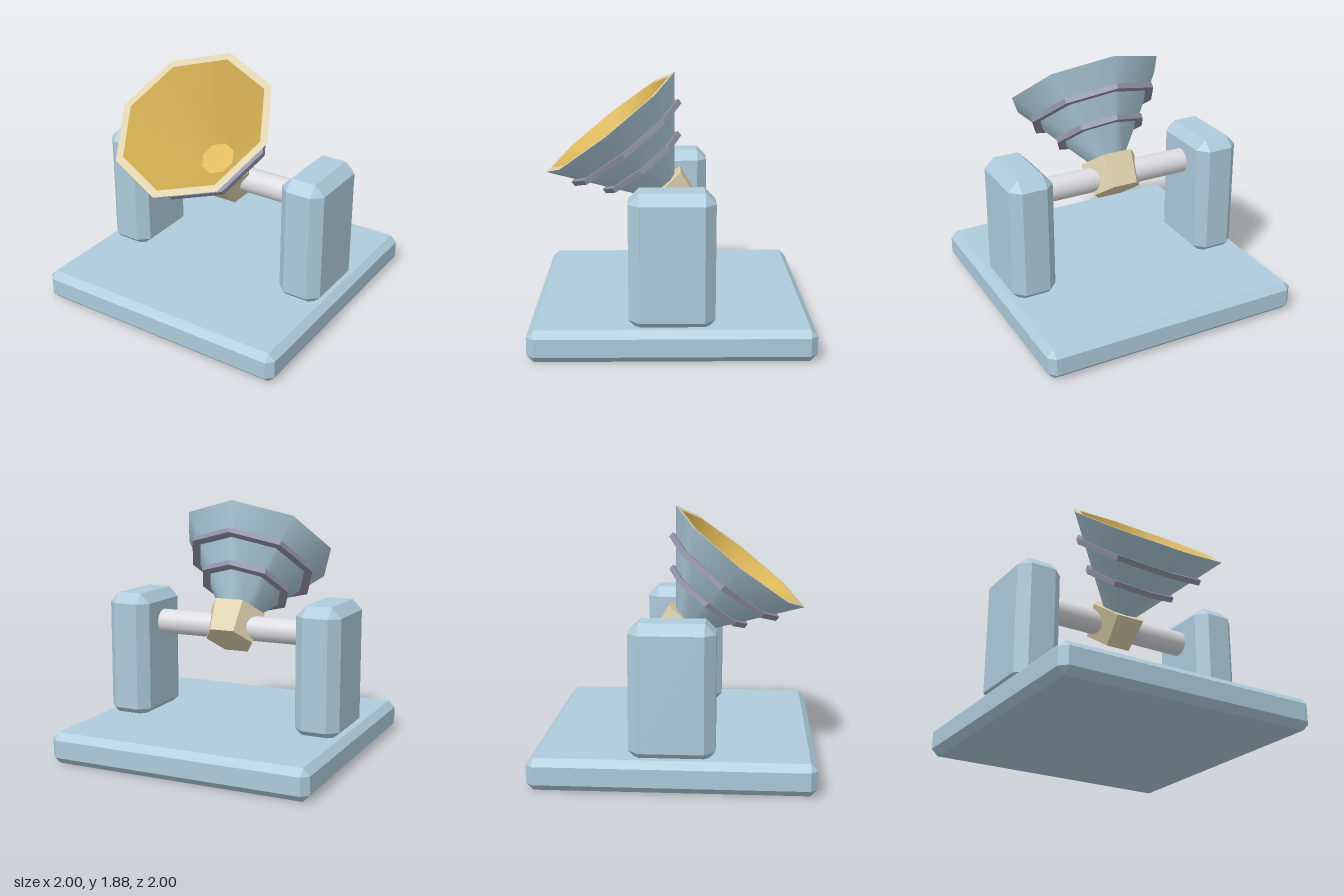
import * as THREE from 'three';
import { ConvexGeometry } from 'three/addons/geometries/ConvexGeometry.js';

const paint = (name, color) => {
  const m = new THREE.MeshStandardMaterial({ color });
  m.name = name;
  return m;
};

// Box with every edge and corner cut by c
function chamferBox(w, h, d, c) {
  const half = [w / 2, h / 2, d / 2], pts = [];
  for (const sx of [-1, 1]) for (const sy of [-1, 1]) for (const sz of [-1, 1])
    for (let axis = 0; axis < 3; axis++) {
      const p = half.map((v, i) => (i === axis ? v : v - c));
      pts.push(new THREE.Vector3(sx * p[0], sy * p[1], sz * p[2]));
    }
  return new ConvexGeometry(pts);
}

// Eight-sided surface of revolution from [radius, height] points
const octagon = (...pts) =>
  new THREE.LatheGeometry(pts.map(([r, t]) => new THREE.Vector2(r, t)), 8);

function flat(geometry) {
  const g = geometry.toNonIndexed();
  g.computeVertexNormals();
  return g;
}

export function createModel() {
  const blue = paint('pale blue', 0xaecbdb);
  const gold = paint('gold', 0xdcb656);
  const beige = paint('beige', 0xdccfab);
  const steel = paint('light steel', 0xdcdce0);
  const slate = paint('slate violet', 0x8f90a6);

  const model = new THREE.Group();
  model.name = 'dishOnStand';
  const add = (parent, name, geometry, material, x = 0, y = 0, z = 0) => {
    const mesh = new THREE.Mesh(geometry, material);
    mesh.name = name;
    mesh.position.set(x, y, z);
    parent.add(mesh);
    return mesh;
  };

  // Base slab and the two posts, sunk slightly into it
  add(model, 'base', chamferBox(2, 0.23, 2, 0.05), blue, 0, 0.115, 0);
  for (const [name, side] of [['leftPost', 1], ['rightPost', -1]])
    add(model, name, chamferBox(0.34, 0.97, 0.6, 0.075), blue, side * 0.77, 0.68, 0);

  // Axle between the posts
  const axle = add(model, 'axle', new THREE.CylinderGeometry(0.094, 0.094, 1.3, 32), steel, 0, 0.925, 0);
  axle.rotation.z = Math.PI / 2;

  // Everything on the tilting head is built along its own y axis
  const head = new THREE.Group();
  head.name = 'tiltingHead';
  head.position.y = 0.925;
  head.rotation.x = 0.663;
  model.add(head);

  // Six-sided hub, corners towards the axle
  const hub = flat(new THREE.CylinderGeometry(0.226, 0.19, 0.25, 6).rotateY(Math.PI / 6));
  add(head, 'hub', hub, beige, 0, 0.005, 0);

  // Dish: outer shell, rim, bowl and bowl floor
  const rimT = 0.735, floorT = 0.235;
  add(head, 'dishShell', octagon([0.14, 0.13], [0.61, rimT]), blue);
  add(head, 'dishRim', octagon([0.61, rimT], [0.553, rimT]), beige);
  add(head, 'dishBowl', octagon([0.553, rimT], [0.13, floorT]), gold);
  add(head, 'dishFloor', octagon([0.13, floorT], [0, floorT]), gold);

  // Two raised bands round the shell
  for (const [name, r, t] of [['upperBand', 0.51, 0.54], ['lowerBand', 0.36, 0.35]]) {
    const a = t - 0.02, b = t + 0.02, inner = r - 0.075;
    add(head, name, flat(octagon([inner, a], [r, a], [r, b], [inner, b])), slate);
  }

  // The corner of the octagon-to-axle layout needs hub edges square to x
  head.getObjectByName('hub').rotation.y = 0;
  return model;
}
